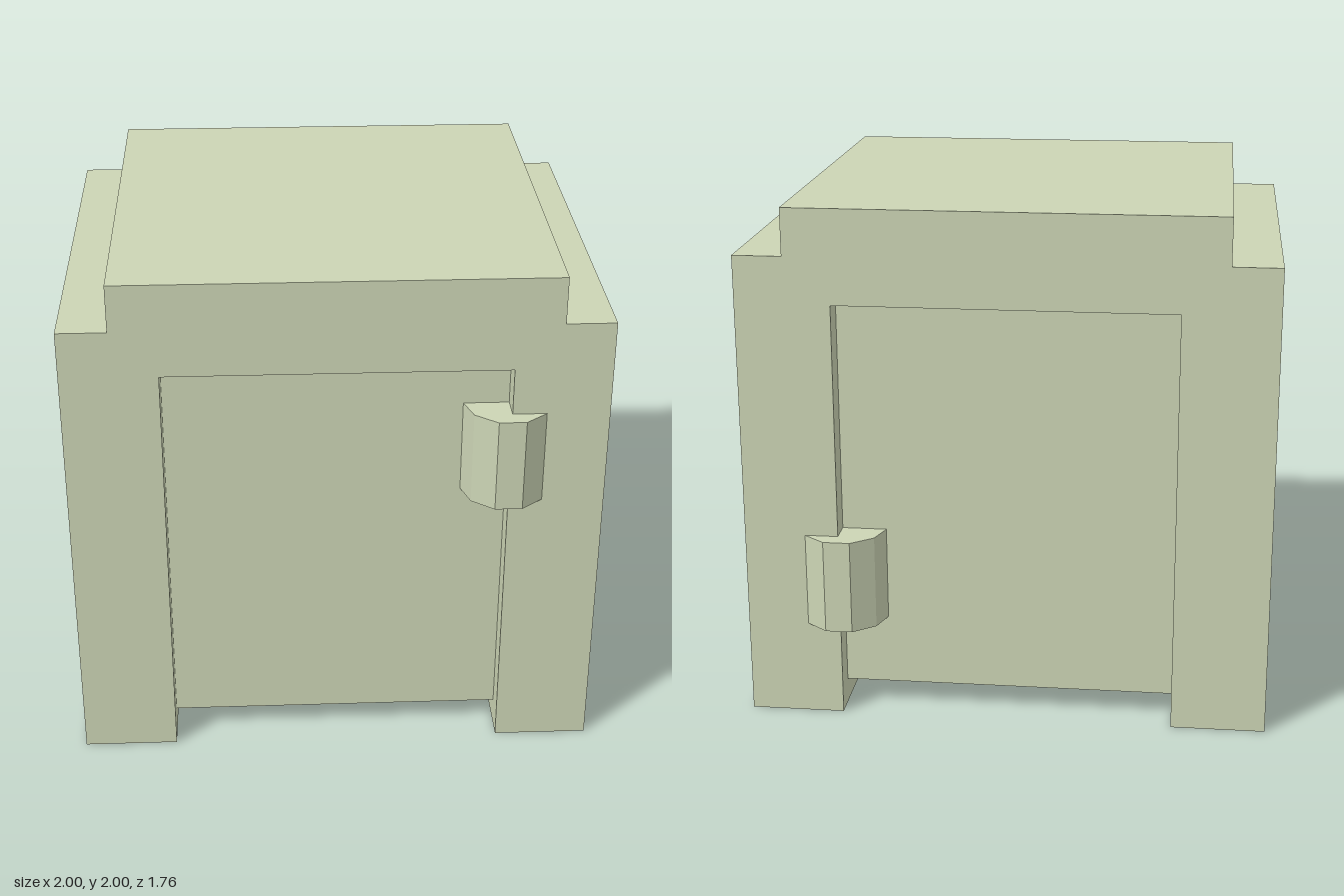
import * as THREE from 'three';

const W = 1, D = 0.815;             // half width, half depth of the shell
const DOOR = 0.64, DOOR_TOP = 1.64; // opening half width and top
const SHOULDER = 1.82, TOP = 2, CAP = 0.815;

function shapeOf(points) {
  return new THREE.Shape(points.map(([x, y]) => new THREE.Vector2(x, y)));
}

export function createModel() {
  const group = new THREE.Group();
  const material = new THREE.MeshStandardMaterial({ color: 0xccd5b5, flatShading: true });
  const add = (name, geometry) => {
    const mesh = new THREE.Mesh(geometry, material);
    mesh.name = name;
    group.add(mesh);
    return mesh;
  };

  // Arch-shaped shell with stepped roof, running the full depth
  const half = [[DOOR, DOOR_TOP], [DOOR, 0], [W, 0], [W, SHOULDER], [CAP, SHOULDER], [CAP, TOP]];
  const mirrored = half.map(([x, y]) => [-x, y]).reverse();
  const shell = new THREE.ExtrudeGeometry(shapeOf([...half, ...mirrored]), {
    depth: 2 * D, bevelEnabled: false,
  });
  shell.translate(0, 0, -D);
  add('shell', shell);

  // Core filling the arch, recessed at both ends to form the doors
  const bottom = 0.095;
  const core = new THREE.BoxGeometry(2 * DOOR, DOOR_TOP - bottom, 1.44);
  core.translate(0, (DOOR_TOP + bottom) / 2, 0);
  add('doorCore', core);

  // Faceted handle, cross-section in x and z, bridging door and frame
  const handle = new THREE.ExtrudeGeometry(shapeOf([
    [0.47, 0.72], [0.767, 0.72], [0.767, 0.815], [0.685, 0.88], [0.583, 0.88], [0.5, 0.815],
  ]), { depth: 0.365, bevelEnabled: false });
  handle.rotateX(Math.PI / 2).translate(0, 1.46, 0);
  add('frontHandle', handle);

  // Rear handle: same part turned over about the x axis
  const back = add('backHandle', handle);
  back.rotation.x = Math.PI;
  back.position.y = 1.83;

  return group;
}
